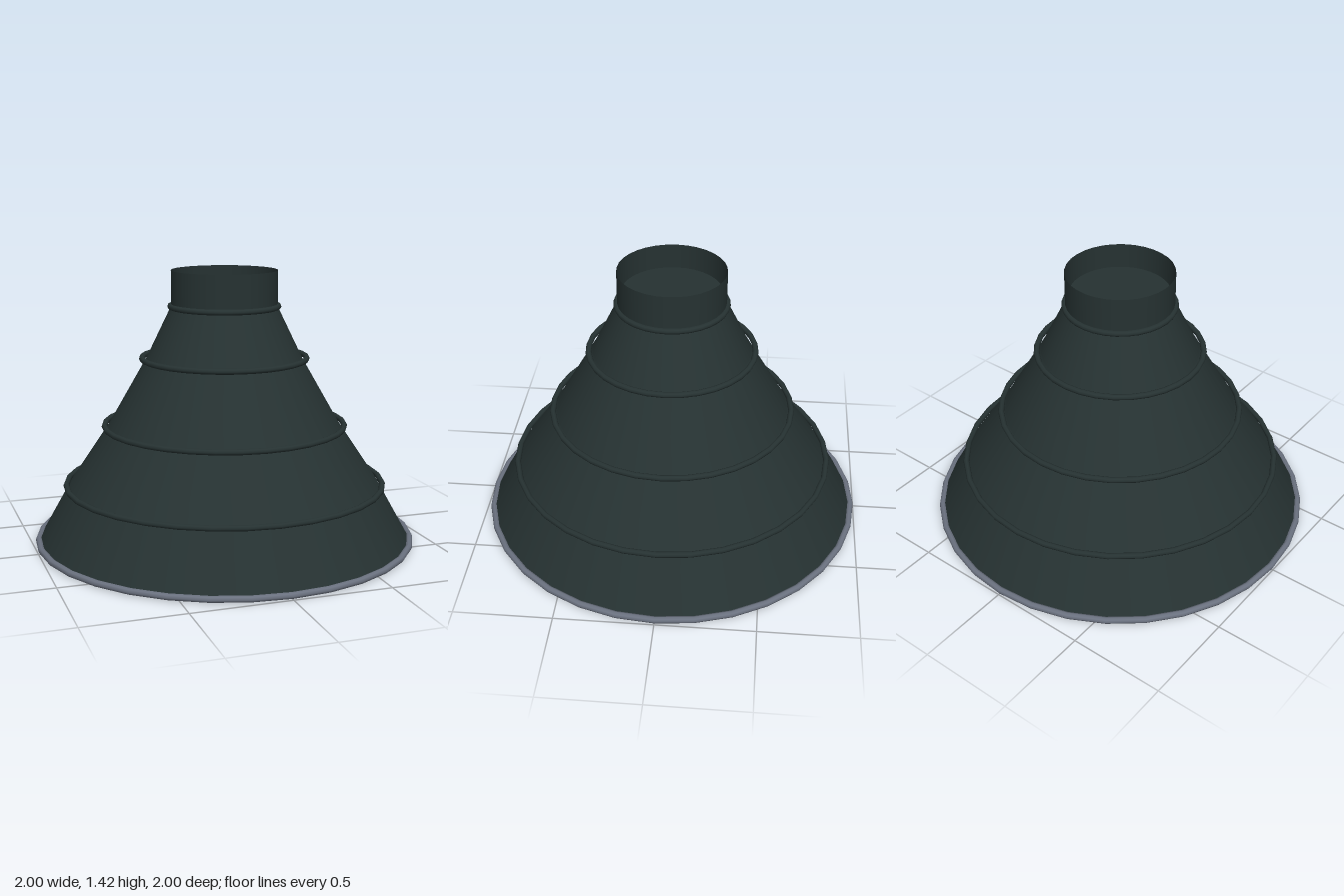
import * as THREE from 'three';

const SIDES = 32;

export function createModel() {
  const model = new THREE.Group();
  model.name = 'flaredShade';

  const shell = new THREE.MeshStandardMaterial({ color: 0x263232, side: THREE.DoubleSide });
  shell.name = 'darkShell';
  const trim = new THREE.MeshStandardMaterial({ color: 0x6b7280 });
  trim.name = 'greyTrim';

  const add = (name, geometry, material, y) => {
    const mesh = new THREE.Mesh(geometry, material);
    mesh.name = name;
    mesh.position.y = y;
    model.add(mesh);
    return mesh;
  };

  // Radius and height where each flared section meets the next
  const joints = [[0.975, 0.02], [0.815, 0.305], [0.607, 0.615], [0.405, 0.967], [0.275, 1.235]];

  // Open, hollow flared sections
  for (let i = 0; i < joints.length - 1; i++) {
    const [r0, y0] = joints[i];
    const [r1, y1] = joints[i + 1];
    add(`flaredSection${i + 1}`,
      new THREE.CylinderGeometry(r1, r0, y1 - y0, SIDES, 1, true), shell, (y0 + y1) / 2);
  }

  // Straight open collar
  add('collar', new THREE.CylinderGeometry(0.275, 0.275, 0.185, SIDES, 1, true), shell, 1.3275);

  // Disc inside the collar, with a narrow gap around it
  add('innerDisc', new THREE.CircleGeometry(0.255, SIDES), shell, 1.3).rotation.x = -Math.PI / 2;

  // Bead around each joint
  const beadRadii = [0.833, 0.628, 0.428, 0.279];
  beadRadii.forEach((r, i) => {
    add(`bead${i + 1}`, new THREE.TorusGeometry(r, 0.015, 8, SIDES), shell, joints[i + 1][1])
      .rotation.x = Math.PI / 2;
  });

  // Rolled rim at the bottom
  add('bottomRim', new THREE.TorusGeometry(0.983, 0.017, 8, SIDES), trim, 0.017)
    .rotation.x = Math.PI / 2;

  return model;
}
